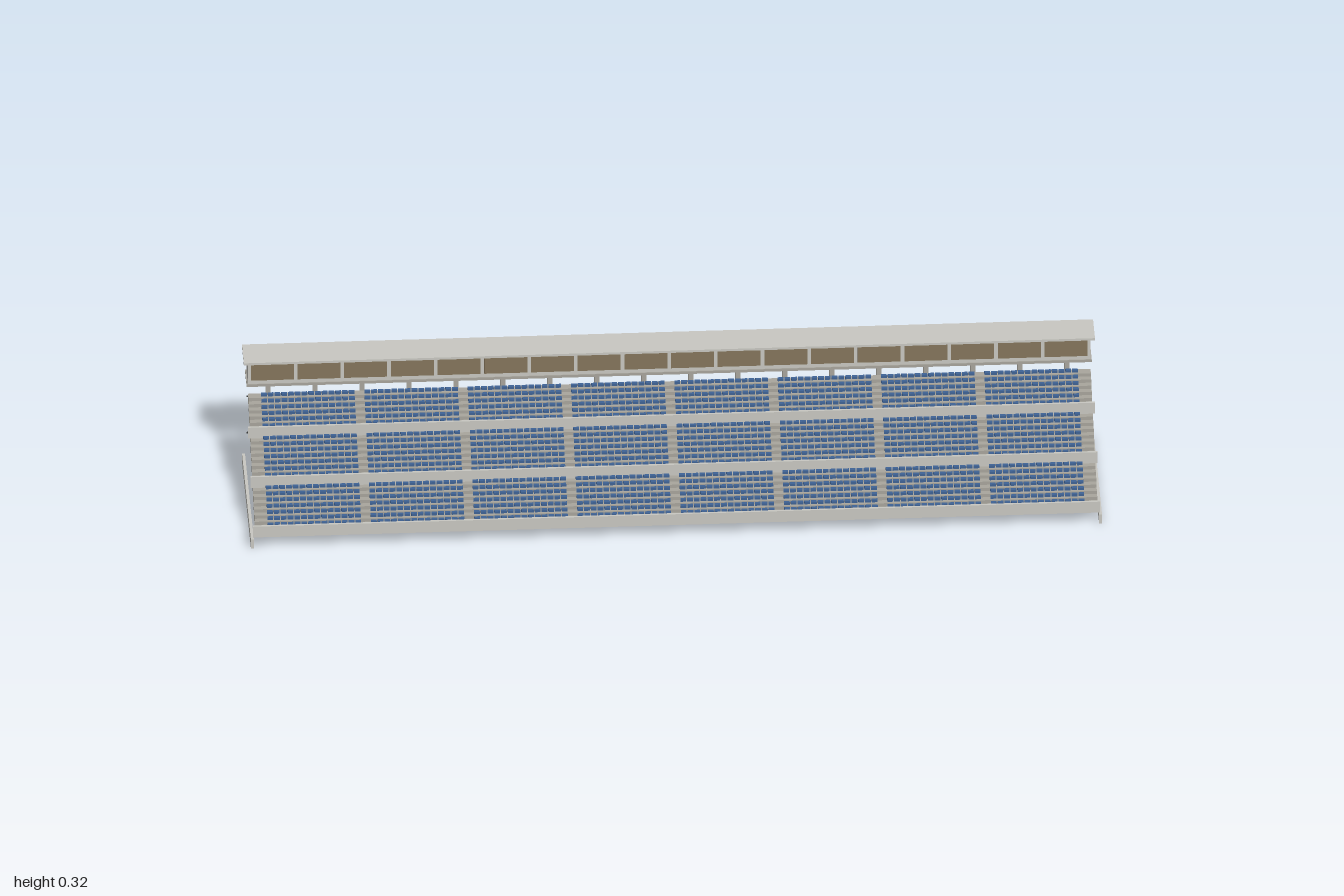
import * as THREE from 'three';
import { mergeGeometries } from 'three/addons/utils/BufferGeometryUtils.js';

const material = (name, color) => {
  const m = new THREE.MeshStandardMaterial({ color });
  m.name = name;
  return m;
};

// Box from its minimum and maximum on each axis
function slab(x0, x1, y0, y1, z0, z1) {
  const g = new THREE.BoxGeometry(x1 - x0, y1 - y0, z1 - z0);
  return g.translate((x0 + x1) / 2, (y0 + y1) / 2, (z0 + z1) / 2);
}

export function createModel() {
  const group = new THREE.Group();
  const concrete = material('light concrete', 0xc9c8c2);
  const darkConcrete = material('weathered concrete', 0xa9a69d);
  const seatBlue = material('seat blue', 0x3f6396);
  const windowTan = material('window tan', 0x85765c);
  const railDark = material('dark rail', 0x3a3a38);

  const add = (name, mat, geometries) => {
    const mesh = new THREE.Mesh(mergeGeometries(geometries), mat);
    mesh.name = name;
    group.add(mesh);
  };

  // Stepped rows: three tiers of eight, the last one row short
  const ROWS = 23, PITCH = 0.0134, RISE = 0.0087, DEPTH = 0.0196;
  const BLOCKS = 8, SEATS = 14, BLOCK_WIDTH = 0.222, BLOCK_PITCH = 0.2428;
  const treads = [], seats = [], parapets = [];
  for (let i = 0; i < ROWS; i++) {
    const z = 0.193 - PITCH * i;
    const y = 0.033 + RISE * i;
    treads.push(slab(-0.99, 0.99, y, y + RISE, z - DEPTH, z));
    if (i % 8 === 0) {
      parapets.push(slab(-0.995, 0.995, y, y + 0.03, z - 0.005, z + 0.0005));
    }
    // Blocks of seats separated by aisles
    for (let b = 0; b < BLOCKS; b++) {
      const left = (b - (BLOCKS - 1) / 2) * BLOCK_PITCH - BLOCK_WIDTH / 2;
      const step = BLOCK_WIDTH / SEATS;
      for (let s = 0; s < SEATS; s++) {
        const x = left + s * step;
        const top = y + RISE;
        seats.push(slab(x + 0.0012, x + step - 0.0012, top - 0.0005, top + 0.006, z - 0.0136, z - 0.0055));
      }
    }
  }
  add('treads', darkConcrete, treads);
  add('seats', seatBlue, seats);
  add('parapets', concrete, parapets);

  // Two rows of supporting columns
  const columns = [];
  for (let i = 0; i < 18; i++) {
    const x = -0.94 + i * 0.1104;
    columns.push(slab(x - 0.006, x + 0.006, 0.005, 0.125, 0.013, 0.026));
    columns.push(slab(x - 0.006, x + 0.006, 0.005, 0.252, -0.175, -0.162));
  }
  add('columns', darkConcrete, columns);

  // Ground beams at both ends
  add('endBeams', concrete, [-1, 1].map((side) =>
    slab(side * 0.9965 - 0.0035, side * 0.9965 + 0.0035, 0, 0.025, -0.188, 0.19)));

  // Rails along the back
  add('backRails', railDark, [0.083, 0.184].map((y) =>
    slab(-0.99, 0.99, y - 0.0015, y + 0.0015, -0.1895, -0.1875)));

  // Enclosed booth along the top
  add('boothFloor', darkConcrete, [slab(-0.993, 0.993, 0.252, 0.259, -0.188, -0.121)]);
  add('boothWalls', concrete, [slab(-0.99, 0.99, 0.259, 0.32, -0.184, -0.123)]);
  add('boothRoof', concrete, [slab(-1, 1, 0.319, 0.325, -0.193, -0.11)]);

  // Row of booth windows
  const windows = [];
  for (let i = 0; i < 18; i++) {
    const x = (i - 8.5) * 0.1097;
    windows.push(slab(x - 0.0505, x + 0.0505, 0.269, 0.314, -0.124, -0.1215));
  }
  add('boothWindows', windowTan, windows);

  return group;
}
